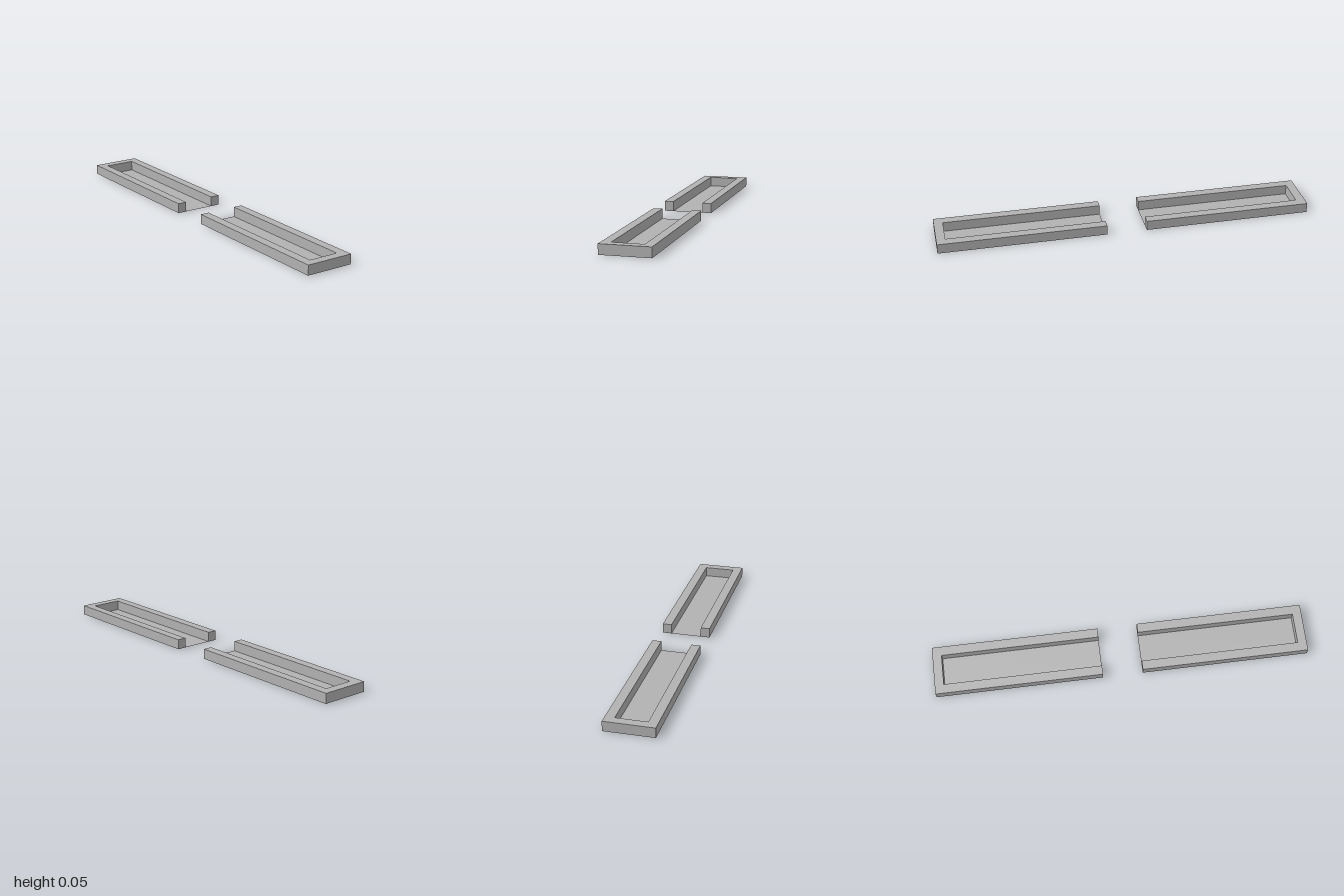
import * as THREE from 'three';

const HALF_W = 0.131, INNER_W = 0.082;             // outer and channel half widths
const Z_OPEN = 0.107, Z_END = 1, Z_INNER = 0.952;  // open end, closed end, inner end wall
const HEIGHT = 0.053;

export function createModel() {
  const model = new THREE.Group();
  model.name = 'channelPair';
  const grey = new THREE.MeshStandardMaterial({ color: 0xb2b2b2, side: THREE.DoubleSide });
  grey.name = 'grey';

  // U-shaped rim in plan: two side walls joined by an end wall
  const outline = [
    [-HALF_W, Z_OPEN], [-INNER_W, Z_OPEN], [-INNER_W, Z_INNER], [INNER_W, Z_INNER],
    [INNER_W, Z_OPEN], [HALF_W, Z_OPEN], [HALF_W, Z_END], [-HALF_W, Z_END],
  ];
  const shape = new THREE.Shape(outline.map(([x, z]) => new THREE.Vector2(x, -z)));
  const rimGeometry = new THREE.ExtrudeGeometry(shape, { depth: HEIGHT, bevelEnabled: false });
  rimGeometry.rotateX(-Math.PI / 2);

  // Flat sheet closing the bottom of the channel
  const floorGeometry = new THREE.PlaneGeometry(INNER_W * 2, Z_INNER - Z_OPEN);
  floorGeometry.rotateX(-Math.PI / 2);
  floorGeometry.translate(0, 0, (Z_OPEN + Z_INNER) / 2);

  // Front tray, and the same tray turned round for the back
  for (const [name, turn] of [['frontTray', 0], ['backTray', Math.PI]]) {
    const tray = new THREE.Group();
    tray.name = name;
    tray.rotation.y = turn;
    const rim = new THREE.Mesh(rimGeometry, grey);
    rim.name = 'rim';
    const floor = new THREE.Mesh(floorGeometry, grey);
    floor.name = 'floor';
    tray.add(rim, floor);
    model.add(tray);
  }
  return model;
}
